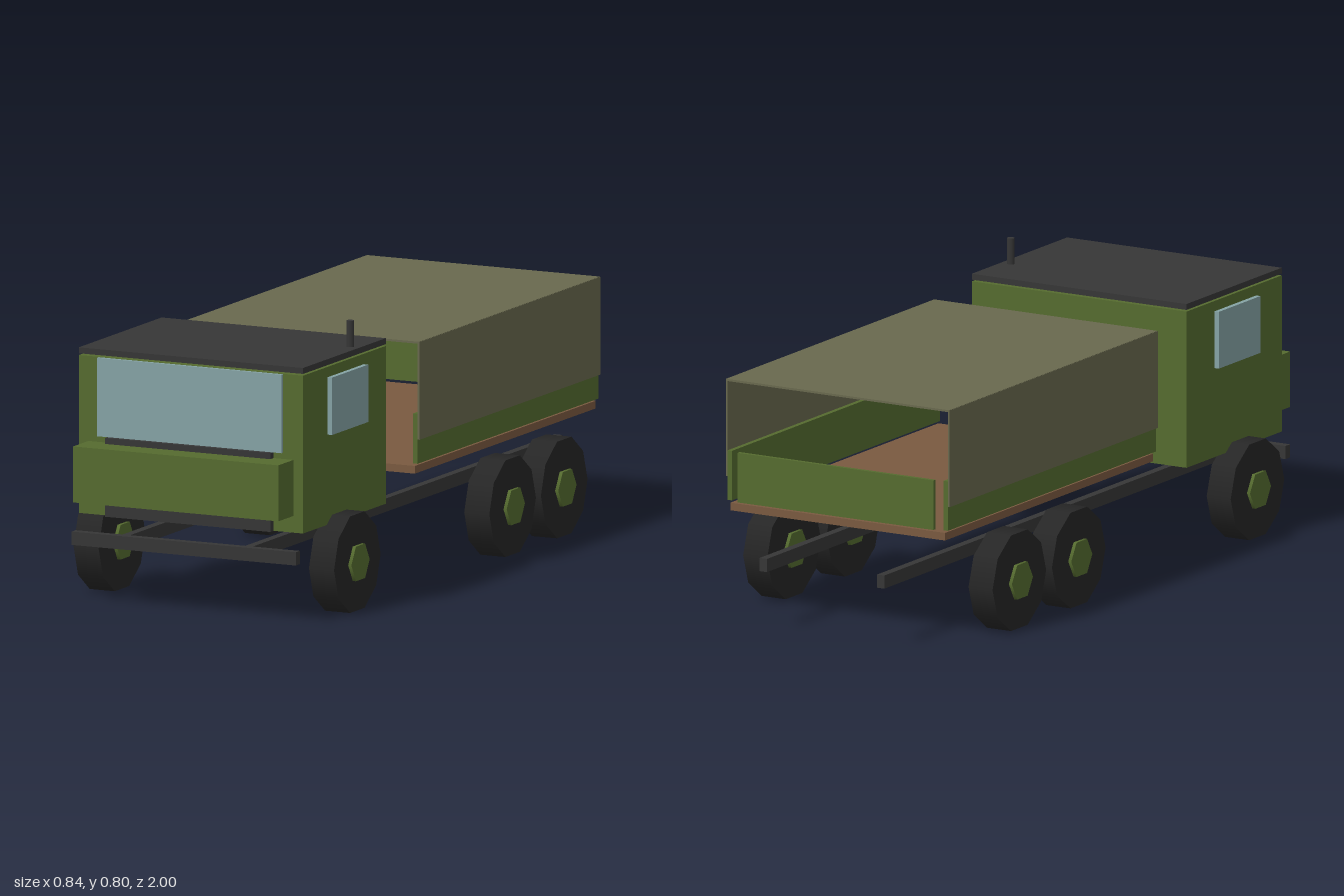
import * as THREE from 'three';

const paint = (color) => new THREE.MeshStandardMaterial({ color });

export function createModel() {
  const truck = new THREE.Group();
  truck.name = 'cargoTruck';

  const green = paint(0x556b2f);
  const dark = paint(0x363636);
  const rubber = paint(0x262626);
  const glass = paint(0x85a3a5);
  const canvas = paint(0x69694e);
  const wood = paint(0x7a5a40);

  // Box given by its extents along each axis
  function box(name, material, [x0, x1], [y0, y1], [z0, z1], parent = truck) {
    const mesh = new THREE.Mesh(new THREE.BoxGeometry(x1 - x0, y1 - y0, z1 - z0), material);
    mesh.position.set((x0 + x1) / 2, (y0 + y1) / 2, (z0 + z1) / 2);
    mesh.name = name;
    parent.add(mesh);
    return mesh;
  }
  const wide = (h) => [-h, h];
  const sided = (s, a, b) => (s > 0 ? [a, b] : [-b, -a]);

  // Cab
  const cab = new THREE.Group();
  cab.name = 'cab';
  truck.add(cab);
  box('cabBody', green, wide(0.353), [0.252, 0.703], [0.39, 0.905], cab);
  box('cabRoof', dark, wide(0.353), [0.708, 0.725], [0.39, 0.905], cab);
  box('windshield', glass, wide(0.29), [0.478, 0.702], [0.9, 0.916], cab);
  box('grille', dark, wide(0.26), [0.252, 0.477], [0.9, 0.925], cab);
  box('hood', green, wide(0.323), [0.3, 0.46], [0.9, 1.0], cab);

  // Exhaust stack
  const stack = new THREE.Mesh(new THREE.CylinderGeometry(0.011, 0.011, 0.1, 8), dark);
  stack.position.set(0.322, 0.75, 0.55);
  stack.name = 'exhaustStack';
  cab.add(stack);

  // Chassis
  box('frontBumper', dark, wide(0.353), [0.168, 0.206], [0.925, 0.95]);

  // Cargo bed and open-ended canvas cover
  const cargo = new THREE.Group();
  cargo.name = 'cargoBed';
  truck.add(cargo);
  const bedLength = [-0.915, 0.21];
  box('bedFloor', wood, wide(0.353), [0.308, 0.33], bedLength, cargo);
  box('tailgate', green, wide(0.322), [0.337, 0.48], [-0.927, -0.915], cargo);
  box('canvasTop', canvas, wide(0.367), [0.68, 0.686], bedLength, cargo);
  for (const z of [-0.63, -0.355, -0.08]) {
    box('canvasBow', dark, wide(0.36), [0.668, 0.68], [z - 0.01, z + 0.01], cargo);
  }

  // Mirrored parts
  for (const s of [-1, 1]) {
    box('sideWindow', glass, sided(s, 0.357, 0.371), [0.511, 0.675], [0.535, 0.76], cab);
    box('frameRail', dark, sided(s, 0.181, 0.205), [0.168, 0.206], [-1.0, 0.93]);
    box('bedSide', green, sided(s, 0.348, 0.362), [0.337, 0.48], bedLength, cargo);
    box('canvasSide', canvas, sided(s, 0.362, 0.368), [0.406, 0.685], bedLength, cargo);

    // Ten-sided tyres with six-sided hubs
    for (const z of [0.68, -0.286, -0.607]) {
      const wheel = new THREE.Group();
      wheel.name = 'wheel';
      const tyre = new THREE.Mesh(new THREE.CylinderGeometry(0.145, 0.145, 0.079, 10), rubber);
      tyre.name = 'tyre';
      const hub = new THREE.Mesh(new THREE.CylinderGeometry(0.057, 0.057, 0.099, 6), green);
      hub.name = 'hub';
      wheel.add(tyre, hub);
      wheel.rotation.z = Math.PI / 2;
      wheel.position.set(s * 0.3705, 0.138, z);
      truck.add(wheel);
    }
  }
  return truck;
}
